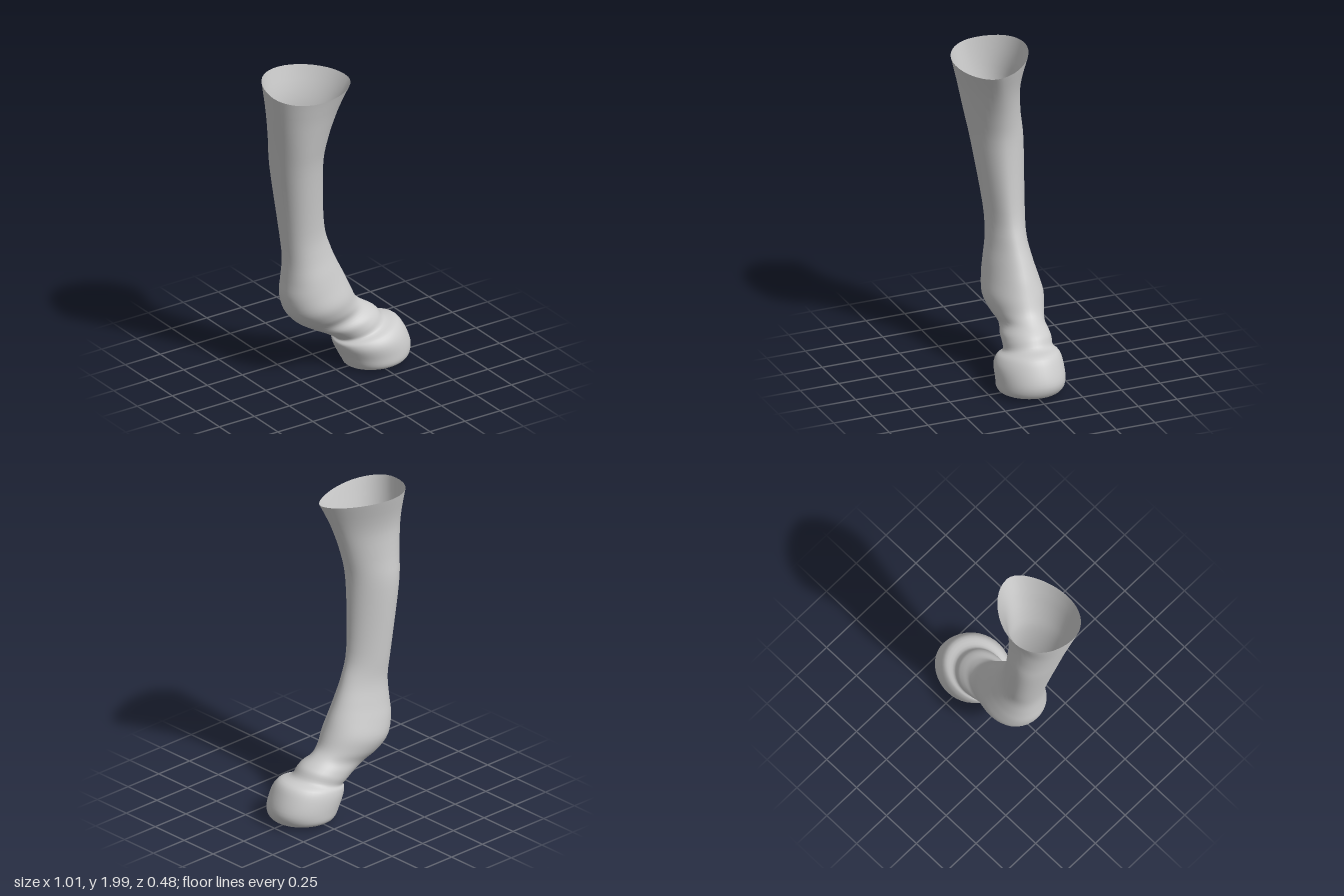
import * as THREE from 'three';

// Cross-sections from the open top down to the sole:
// [left x, left y, right x, right y, front z, back z, z of the side points]
const RINGS = [
  [-0.505, 1.975, 0.047, 1.955, 0.24, -0.21, 0.06],
  [-0.478, 1.8, -0.02, 1.79, 0.205, -0.165, 0.03],
  [-0.445, 1.6, -0.075, 1.6, 0.165, -0.172, 0.0],
  [-0.415, 1.4, -0.097, 1.4, 0.125, -0.193, -0.02],
  [-0.352, 1.0, -0.07, 1.0, 0.068, -0.18, -0.04],
  [-0.328, 0.8, -0.02, 0.83, 0.068, -0.172, -0.05],
  [-0.33, 0.66, 0.04, 0.7, 0.09, -0.195, -0.06],
  [-0.335, 0.55, 0.085, 0.61, 0.105, -0.22, -0.06],
  [-0.305, 0.44, 0.125, 0.52, 0.117, -0.237, -0.06],
  [-0.24, 0.36, 0.165, 0.44, 0.095, -0.215, -0.06],
  [-0.15, 0.3, 0.215, 0.395, 0.07, -0.185, -0.05],
  [-0.07, 0.258, 0.27, 0.36, 0.095, -0.185, -0.04],
  [0.0, 0.215, 0.3, 0.335, 0.105, -0.185, -0.04],
  [0.025, 0.195, 0.34, 0.285, 0.115, -0.18, -0.03],
  [0.012, 0.175, 0.42, 0.265, 0.165, -0.2, -0.02],
  [0.022, 0.14, 0.465, 0.205, 0.196, -0.212, -0.02],
  [0.05, 0.085, 0.502, 0.11, 0.2, -0.212, -0.02],
  [0.078, 0.03, 0.485, 0.045, 0.195, -0.2, -0.01],
  [0.105, 0.006, 0.44, 0.026, 0.15, -0.15, -0.01],
  [0.268, 0.018, 0.272, 0.018, 0.0, -0.002, -0.001],
];
const STEPS = 4;
const SIDES = 40;

function catmull(a, b, c, d, t) {
  return 0.5 * (2 * b + (c - a) * t + (2 * a - 5 * b + 4 * c - d) * t * t + (3 * b - a - 3 * c + d) * t * t * t);
}

// Smoothly blended section at a fractional ring index
function sectionAt(v) {
  const last = RINGS.length - 1;
  const i = Math.min(Math.floor(v), last - 1);
  const at = (n) => RINGS[Math.max(0, Math.min(last, n))];
  return RINGS[i].map((_, k) => catmull(at(i - 1)[k], at(i)[k], at(i + 1)[k], at(i + 2)[k], v - i));
}

function createLegGeometry() {
  const rows = (RINGS.length - 1) * STEPS;
  const positions = [];
  const index = [];
  for (let r = 0; r <= rows; r++) {
    const v = r / STEPS;
    const [lx, ly, rx, ry, zf, zb, zm] = sectionAt(v);
    // The shank narrows towards its +x edge, the hoof is round
    const point = 0.18 * (1 - THREE.MathUtils.smoothstep(v, 6, 11));
    // The cut at the top slopes down to the front
    const slope = 0.032 * Math.max(0, 1 - v);
    for (let s = 0; s < SIDES; s++) {
      const a = (s / SIDES) * Math.PI * 2;
      const c = Math.cos(a), n = Math.sin(a);
      const w = (1 + c) / 2;
      const depth = n > 0 ? zf - zm : zm - zb;
      positions.push(
        lx + (rx - lx) * w,
        ly + (ry - ly) * w - slope * n,
        zm + depth * n * (1 - point * c) / (1 + point * point * 0.5),
      );
    }
  }
  for (let r = 0; r < rows; r++) {
    for (let s = 0; s < SIDES; s++) {
      const a = r * SIDES + s, d = r * SIDES + ((s + 1) % SIDES);
      index.push(a, d, a + SIDES, d, d + SIDES, a + SIDES);
    }
  }
  const geometry = new THREE.BufferGeometry();
  geometry.setAttribute('position', new THREE.Float32BufferAttribute(positions, 3));
  geometry.setIndex(index);
  geometry.computeVertexNormals();
  return geometry;
}

export function createModel() {
  const model = new THREE.Group();
  model.name = 'lowerLegWithHoof';
  // Shank, fetlock, pastern and hoof form one skin, open at the top
  const material = new THREE.MeshStandardMaterial({ color: 0xcccccc, side: THREE.DoubleSide });
  const leg = new THREE.Mesh(createLegGeometry(), material);
  leg.name = 'legAndHoof';
  model.add(leg);
  return model;
}
